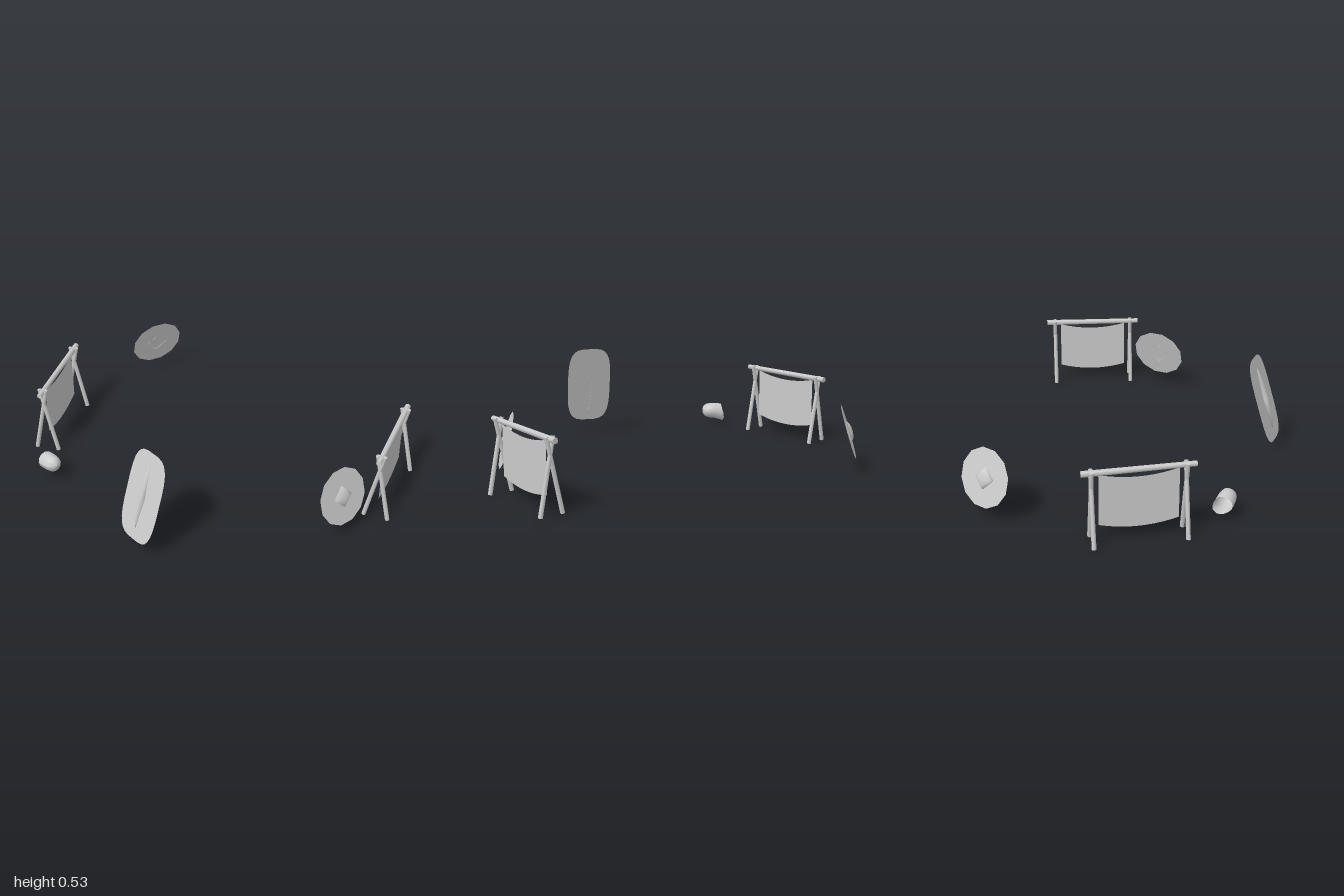
import * as THREE from 'three';

const wood = new THREE.MeshStandardMaterial({ color: 0xcccccc });
const thin = new THREE.MeshStandardMaterial({ color: 0xcccccc, side: THREE.DoubleSide });

function add(parent, name, geometry, material) {
  const mesh = new THREE.Mesh(geometry, material);
  mesh.name = name;
  parent.add(mesh);
  return mesh;
}

// Round timber between two points
function timber(parent, name, a, b, r0, r1) {
  const dir = b.clone().sub(a);
  const mesh = add(parent, name, new THREE.CylinderGeometry(r1, r0, dir.length(), 7), wood);
  mesh.position.copy(a).add(b).multiplyScalar(0.5);
  mesh.quaternion.setFromUnitVectors(new THREE.Vector3(0, 1, 0), dir.normalize());
  return mesh;
}

// Drying rack: crossed legs at both ends, a ridge pole and a hanging cloth
function rack(name, x, z, dx, dz) {
  const g = new THREE.Group();
  g.name = name;
  const v = (a, b, c) => new THREE.Vector3(a, b, c);
  timber(g, 'ridgePole', v(-0.277, 0.38, 0), v(0.277, 0.38, 0), 0.016, 0.014);
  for (const end of [-1, 1])
    for (const side of [-1, 1])
      timber(g, 'leg', v(end * 0.229, 0.005, side * 0.063), v(end * 0.229, 0.392, -side * 0.019), 0.012, 0.011);

  // Cloth sagging between the legs
  const cloth = new THREE.PlaneGeometry(0.39, 0.269, 10, 4);
  const p = cloth.attributes.position;
  for (let i = 0; i < p.count; i++) {
    const u = p.getX(i) / 0.195;
    p.setY(i, p.getY(i) + 0.233 - 0.027 * (1 - u * u));
  }
  cloth.computeVertexNormals();
  add(g, 'cloth', cloth, thin);

  g.position.set(x, 0, z);
  g.rotation.y = Math.atan2(-dz, dx);
  return g;
}

// Leaning shield: thin face and four-sided boss
function shield(name, outline, boss, position, yaw, lean) {
  const g = new THREE.Group();
  g.name = name;
  add(g, 'shieldFace', new THREE.ShapeGeometry(new THREE.Shape(outline)), thin);
  const dome = new THREE.SphereGeometry(1, 4, 4, 0, Math.PI * 2, 0, Math.PI / 2);
  dome.rotateX(Math.PI / 2).scale(...boss);
  add(g, 'shieldBoss', dome, thin).position.z = -0.002;
  g.position.set(...position);
  g.rotation.set(-lean, yaw, 0, 'YXZ');
  return g;
}

// Closed outline: rounded by the power of a superellipse
function outline(rx, ry, n, power) {
  const points = [];
  for (let i = 0; i < n; i++) {
    const a = ((i + 0.5) / n) * Math.PI * 2;
    const c = Math.cos(a), s = Math.sin(a);
    points.push(new THREE.Vector2(
      rx * Math.sign(c) * Math.abs(c) ** power,
      ry * Math.sign(s) * Math.abs(s) ** power));
  }
  return points;
}

// Open helmet lying on its side, with a flared neck guard
function helmet() {
  const profile = [[0.046, -0.046], [0.047, -0.02], [0.046, 0.01], [0.04, 0.04], [0.025, 0.057], [0.0001, 0.064]]
    .map(([r, y]) => new THREE.Vector2(r, y));
  const geo = new THREE.LatheGeometry(profile, 12);
  const p = geo.attributes.position;
  for (let i = 0; i < p.count; i++) {
    if (p.getY(i) > -0.04) continue;
    const x = p.getX(i), z = p.getZ(i);
    const f = Math.max(0, (x - z) / (0.046 * Math.SQRT2)) ** 2;
    p.setXYZ(i, x * (1 + 0.3 * f), p.getY(i) - 0.018 * f, z * (1 + 0.3 * f));
  }
  geo.computeVertexNormals();
  const mesh = new THREE.Mesh(geo, thin);
  mesh.name = 'helmet';
  mesh.position.set(-0.45, 0.097, 0.748);
  mesh.rotation.z = -Math.PI / 2 + 0.12;
  return mesh;
}

export function createModel() {
  const model = new THREE.Group();
  model.name = 'camp';
  model.add(
    rack('leftRack', 0.83, -0.535, 0.207, 0.418),
    rack('rightRack', -0.807, 0.427, 0.255, 0.38),
    shield('leftRoundShield', outline(0.153, 0.153, 12, 1), [0.06, 0.06, 0.025],
      [0.882, 0.217, -0.12], Math.PI / 2 - 0.03, 0.285),
    shield('rightRoundShield', outline(0.153, 0.153, 12, 1), [0.06, 0.06, 0.025],
      [-0.903, 0.217, -0.347], Math.atan2(-0.97, -0.25), 0.285),
    shield('longShield', outline(0.125, 0.24, 28, 0.55), [0.018, 0.18, 0.024],
      [0.32, 0.303, 0.708], 0, 0.308),
    helmet());
  return model;
}
